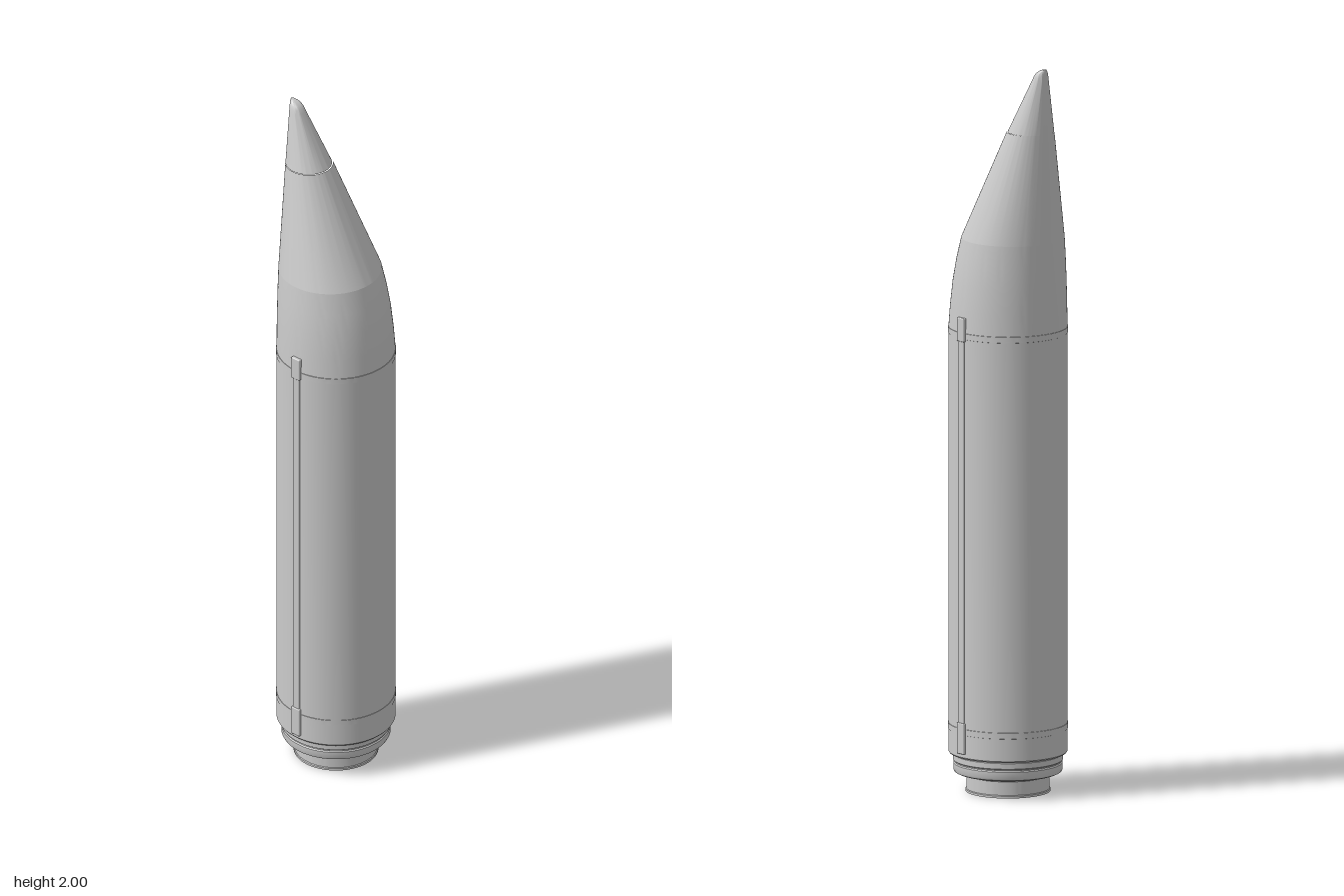
import * as THREE from 'three';
import { toCreasedNormals } from 'three/addons/utils/BufferGeometryUtils.js';
import { RoundedBoxGeometry } from 'three/addons/geometries/RoundedBoxGeometry.js';

const R = 0.16; // main body radius
const material = new THREE.MeshStandardMaterial({ color: 0xcccccc });

export function createModel() {
  const model = new THREE.Group();

  function add(name, geometry, parent = model) {
    const mesh = new THREE.Mesh(geometry, material);
    mesh.name = name;
    parent.add(mesh);
    return mesh;
  }

  // Revolve a [radius, height] profile; skewed parts keep their back edge flush at z = -R
  function turned(name, profile, skewed = false) {
    const geometry = new THREE.LatheGeometry(profile.map(([r, y]) => new THREE.Vector2(r, y)), 96);
    if (skewed) {
      const p = geometry.attributes.position;
      for (let i = 0; i < p.count; i++) {
        const r = Math.hypot(p.getX(i), p.getZ(i));
        p.setZ(i, p.getZ(i) + r - R);
      }
    }
    return add(name, toCreasedNormals(geometry, 0.5));
  }

  // Hollow nozzle with a small lip
  turned('nozzle', [[0, 0.09], [0.107, 0.09], [0.107, 0], [0.114, 0], [0.114, 0.006],
    [0.112, 0.008], [0.112, 0.045], [0.116, 0.05], [0.116, 0.065]]);

  // Stepped, rounded base rings
  turned('baseRings', [[0.108, 0.052], [0.138, 0.052], [0.144, 0.055], [0.147, 0.061], [0.147, 0.078],
    [0.144, 0.081], [0.144, 0.084], [0.148, 0.087], [0.148, 0.102], [0.145, 0.105], [0.145, 0.112]]);

  // Straight cylindrical body
  turned('body', [[0.108, 0.106], [0.157, 0.106], [R, 0.11], [R, 1.272]]);

  // Thin joint bands
  for (const [name, y] of [['lowerBand', 0.18], ['upperBand', 1.265]]) {
    turned(name, [[R - 0.001, y - 0.009], [R + 0.001, y - 0.008], [R + 0.001, y + 0.008], [R - 0.001, y + 0.009]]);
  }

  // Offset nose: curved shoulder, slanted cone and rounded tip
  turned('noseShoulder', [[R, 1.272], [0.1575, 1.33], [0.153, 1.4], [0.147, 1.46], [0.139, 1.52]], true);
  turned('noseCone', [[0.139, 1.52], [0.064, 1.82]], true);
  turned('noseTip', [[0.0625, 1.82], [0.022, 1.968], [0.0195, 1.978], [0.016, 1.987],
    [0.011, 1.994], [0.006, 1.998], [0, 2]], true);

  // Cable ducts along both sides, with wider end covers
  for (const side of [1, -1]) {
    const duct = new THREE.Group();
    duct.name = side > 0 ? 'leftCableDuct' : 'rightCableDuct';
    const box = (name, depth, width, y0, y1) => {
      const mesh = add(name, new RoundedBoxGeometry(depth, y1 - y0, width, 2, 0.003), duct);
      mesh.position.set(side * (0.15 + depth / 2), (y0 + y1) / 2, 0);
    };
    box('ductRail', 0.014, 0.022, 0.13, 1.3);
    box('lowerDuctCover', 0.017, 0.03, 0.12, 0.205);
    box('upperDuctCover', 0.017, 0.03, 1.25, 1.315);
    model.add(duct);
  }

  return model;
}
